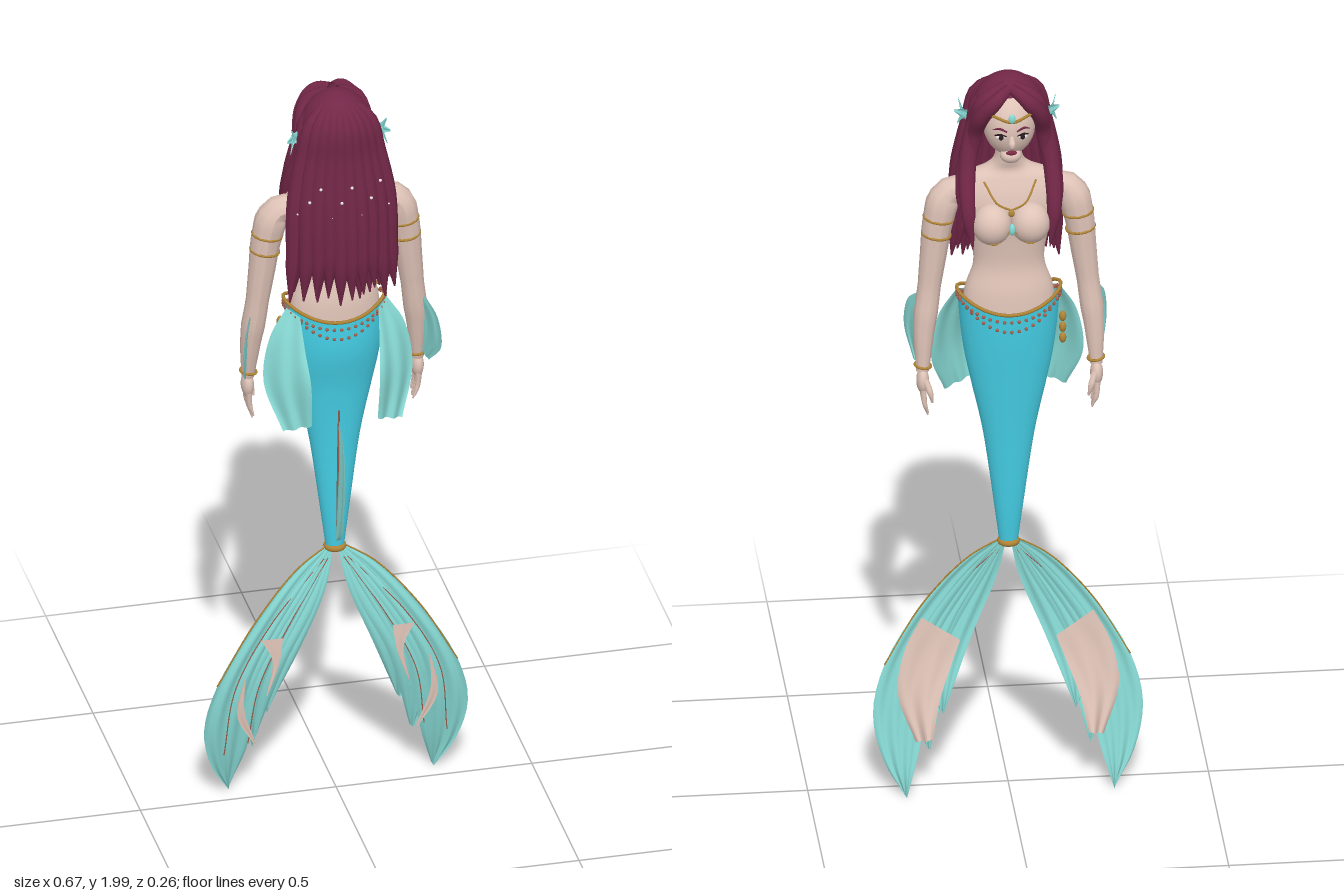
import * as THREE from 'three';

const V = (x, y, z) => new THREE.Vector3(x, y, z);
const paint = (name, color, side = THREE.FrontSide) => {
  const m = new THREE.MeshStandardMaterial({ color, side });
  m.name = name;
  return m;
};
const M = {
  hair: paint('wine hair', 0x722747, THREE.DoubleSide),
  skin: paint('skin', 0xdfc3b7, THREE.DoubleSide),
  tail: paint('tail blue', 0x45cfe6),
  fin: paint('fin aqua', 0x88dad5, THREE.DoubleSide),
  gold: paint('gold', 0xb08436),
  bead: paint('bead brown', 0xa0604e),
  dark: paint('eye dark', 0x2a1a22),
  white: paint('pearl white', 0xe8e4e0),
  lip: paint('lip red', 0x7c2c44),
};

export function createModel() {
  const root = new THREE.Group();
  root.name = 'mermaid';
  const add = (name, geo, mat, parent = root) => {
    const m = new THREE.Mesh(geo, mat);
    m.name = name;
    parent.add(m);
    return m;
  };
  const blob = (name, mat, p, r, parent) => {
    const m = add(name, new THREE.SphereGeometry(1, 20, 14), mat, parent);
    m.position.set(...p);
    m.scale.set(...r);
    return m;
  };
  const curveOf = (pts, s = 1, closed = false) =>
    new THREE.CatmullRomCurve3(pts.map(p => V(p[0] * s, p[1], p[2])), closed);

  // Tube whose radius follows a list of values along its length
  const taper = (name, mat, pts, radii, s = 1, parent = root, segs = 28, sides = 10) => {
    const curve = curveOf(pts, s);
    const geo = new THREE.TubeGeometry(curve, segs, 1, sides);
    const pos = geo.attributes.position, v = V(0, 0, 0);
    for (let i = 0; i <= segs; i++) {
      const c = curve.getPointAt(i / segs), f = i / segs * (radii.length - 1);
      const k = Math.min(Math.floor(f), radii.length - 2);
      const r = THREE.MathUtils.lerp(radii[k], radii[k + 1], f - k);
      for (let j = 0; j <= sides; j++) {
        const n = i * (sides + 1) + j;
        v.fromBufferAttribute(pos, n).sub(c).multiplyScalar(r).add(c);
        pos.setXYZ(n, v.x, v.y, v.z);
      }
    }
    geo.computeVertexNormals();
    return add(name, geo, mat, parent);
  };
  const wire = (name, mat, pts, r, s = 1, closed = false, parent = root) =>
    add(name, new THREE.TubeGeometry(curveOf(pts, s, closed), 40, r, 6, closed), mat, parent);

  // Body skin through oval rows of [y, half width, front z, back z]
  const loft = (name, mat, rows, lift = 0) => {
    const cw = new THREE.CatmullRomCurve3(rows.map(r => V(r[0], r[1], 0)), false, 'catmullrom');
    const cd = new THREE.CatmullRomCurve3(rows.map(r => V(r[0], r[2], r[3])), false, 'catmullrom');
    const n = 48, k = 32, pos = [], idx = [];
    for (let i = 0; i <= n; i++) {
      const w = cw.getPoint(i / n), d = cd.getPoint(i / n);
      const rise = lift * THREE.MathUtils.smoothstep(w.x, 1.2, 1.365);
      for (let j = 0; j < k; j++) {
        const a = j / k * Math.PI * 2, c = Math.cos(a);
        pos.push(w.y * c, w.x + rise * c * c, (d.y + d.z) / 2 + (d.z - d.y) / 2 * Math.sin(a));
        if (i < n) {
          const p = i * k + j, q = i * k + (j + 1) % k;
          idx.push(p, p + k, q, q, p + k, q + k);
        }
      }
    }
    const geo = new THREE.BufferGeometry();
    geo.setAttribute('position', new THREE.Float32BufferAttribute(pos, 3));
    geo.setIndex(idx);
    geo.computeVertexNormals();
    return add(name, geo, mat);
  };

  // Rippled membrane stretched between two edge curves
  const fin = (name, mat, a, b, s = 1, ripple = 0.005, folds = 3, parent = root, axis = 'z') => {
    const A = curveOf(a, s), B = curveOf(b, s);
    const geo = new THREE.PlaneGeometry(1, 1, 18, 24), pos = geo.attributes.position;
    for (let i = 0; i < pos.count; i++) {
      const u = pos.getX(i) + 0.5, v = 0.5 - pos.getY(i);
      const p = A.getPoint(v).lerp(B.getPoint(v), u);
      p[axis] += ripple * Math.sin(u * folds * Math.PI * 2) * Math.sin(Math.min(1, v * 1.4) * Math.PI / 2);
      pos.setXYZ(i, p.x, p.y, p.z);
    }
    geo.computeVertexNormals();
    return add(name, geo, mat, parent);
  };

  // Tail and torso
  loft('tail', M.tail, [[0.68, .022, -.032, .006], [0.8, .037, -.045, .014], [1, .064, -.062, .022],
    [1.15, .095, -.077, .036], [1.27, .119, -.09, .058], [1.365, .129, -.097, .06]], 0.045);
  loft('torso', M.skin, [[1.33, .12, -.088, .05], [1.41, .11, -.08, .045], [1.48, .089, -.066, .03],
    [1.55, .096, -.07, .03], [1.62, .117, -.078, .034], [1.68, .135, -.066, .036], [1.72, .118, -.05, .034],
    [1.745, .06, -.04, .026], [1.775, .035, -.046, .02], [1.83, .034, -.05, .02]]);

  // Belt with hanging beads
  const ring = (y, rise, grow) => Array.from({ length: 24 }, (_, i) => {
    const a = i / 24 * Math.PI * 2, c = Math.cos(a);
    return [(.129 + grow) * c, y + rise * c * c, -.0185 + (.0785 + grow) * Math.sin(a)];
  });
  wire('belt', M.gold, ring(1.366, .045, .001), .0045, 1, true);
  for (const [y, rise] of [[1.345, .045], [1.318, .08]]) {
    const row = curveOf(ring(y, rise, .0), 1, true);
    for (let i = 0; i < 44; i++) blob('beltBead', M.bead, row.getPoint(i / 44).toArray(), [.0045, .0045, .0045]);
  }
  for (const y of [1.33, 1.3, 1.27]) blob('beltTassel', M.gold, [-.132, y, -.045], [.009, .014, .009]);
  const tie = add('tailRing', new THREE.TorusGeometry(.021, .008, 8, 24), M.gold);
  tie.rotation.x = Math.PI / 2;
  tie.position.set(0, .69, -.013);

  // Dorsal fin
  fin('dorsalFin', M.fin, [[0, 1.06, .02], [0, .95, .015], [0, .72, 0]],
    [[0, 1.07, .03], [0, 1.02, .08], [0, .93, .098], [0, .8, .08], [0, .75, .06], [0, .72, .02]], 1, .004, 2, root, 'x');
  wire('dorsalSeam', M.bead, [[0, 1.1, .032], [0, 1, .024], [0, .74, .011]], .0025);

  // Head and face
  const head = new THREE.Group();
  head.name = 'head';
  root.add(head);
  blob('face', M.skin, [0, 1.875, -.028], [.066, .085, .07], head);
  blob('chin', M.skin, [0, 1.803, -.068], [.027, .02, .024], head);
  taper('nose', M.skin, [[0, 1.87, -.092], [0, 1.845, -.104], [0, 1.835, -.092]], [.004, .009, .005], 1, head);
  blob('lips', M.lip, [0, 1.819, -.089], [.014, .006, .006], head);
  wire('tiara', M.gold, [[-.08, 1.92, -.04], [-.045, 1.925, -.09], [0, 1.91, -.1], [.045, 1.925, -.09], [.08, 1.92, -.04]], .004, 1, false, head);
  blob('tiaraGem', M.fin, [0, 1.92, -.101], [.009, .013, .006], head);

  // Hair cap: open around the face
  const cap = (name, start, sweep, top, height) => {
    const m = add(name, new THREE.SphereGeometry(1, 40, 20, start, sweep, top, height), M.hair, head);
    m.position.set(0, 1.89, 0);
    m.scale.set(.092, .107, .088);
  };
  cap('hairCrown', 0, Math.PI * 2, 0, .85);
  cap('hairBack', Math.PI / 2 - 1.95, 3.9, .8, 1.5);

  // Back locks in two layers
  for (let layer = 0; layer < 2; layer++) {
    for (let i = 0; i < 10; i++) {
      const t = (i - 4.5) / 4.5 * (layer ? .9 : 1), c = Math.sqrt(1 - .8 * t * t), d = layer * .022;
      const end = 1.445 + .035 * ((i * 5 + layer * 2) % 4) / 3;
      taper('hairLock', M.hair, [[.02 * t, 1.983, .01], [.074 * t, 1.935, .015 + .06 * c - d],
        [.095 * t, 1.84, .012 + .068 * c - d], [.116 * t, 1.72, .018 + .078 * c - d],
        [.122 * t, 1.58, .022 + .086 * c - d], [.134 * t, end, .03 + .082 * c - d]],
      [.008, .018, .022, .024, .024, .02, .002], 1, head, 26, 8);
      if (layer === 0) {
        blob('hairPearl', M.white, [.116 * t, 1.7 + .04 * (i % 3), .04 + .077 * c], [.004, .004, .004], head);
      }
    }
  }

  for (const s of [1, -1]) {
    const side = new THREE.Group();
    side.name = s > 0 ? 'leftSide' : 'rightSide';
    root.add(side);
    const T = (name, mat, pts, radii) => taper(name, mat, pts, radii, s, side);
    const F = (name, mat, a, b, ripple, folds) => fin(name, mat, a, b, s, ripple, folds, side);

    // Eye and brow
    blob('eye', M.white, [s * .027, 1.866, -.0915], [.013, .007, .005], side);
    blob('iris', M.dark, [s * .027, 1.866, -.0955], [.006, .0065, .003], side);
    T('eyelash', M.dark, [[.013, 1.869, -.096], [.028, 1.874, -.095], [.043, 1.869, -.085]], [.001, .003, .001]);
    T('brow', M.hair, [[.012, 1.882, -.097], [.03, 1.89, -.093], [.046, 1.882, -.08]], [.002, .003, .001]);

    // Front locks framing the face
    T('fringe', M.hair, [[.002, 1.98, -.05], [.035, 1.962, -.078], [.07, 1.915, -.066], [.085, 1.85, -.03], [.096, 1.76, -.03]],
      [.012, .021, .021, .02, .012]);
    T('frontLock', M.hair, [[.01, 1.983, -.03], [.06, 1.95, -.05], [.085, 1.87, -.02], [.104, 1.77, -.032],
      [.108, 1.66, -.075], [.096, 1.55, -.088]], [.01, .022, .022, .023, .021, .018, .001]);
    T('sideLock', M.hair, [[.03, 1.972, 0], [.074, 1.92, -.005], [.09, 1.83, .005], [.115, 1.73, -.025], [.12, 1.6, -.065]],
      [.01, .02, .02, .02, .016, .001]);

    // Ear fin
    for (const [y, x] of [[1.92, .122], [1.885, .132], [1.85, .124]]) {
      F('earFin', M.fin, [[.08, 1.89, -.005], [.108, 1.895, .01], [x, y, .03]],
        [[.08, 1.865, 0], [.108, 1.868, .014], [x, y - .006, .032]], .002, 1);
    }

    // Chest
    blob('breast', M.skin, [s * .048, 1.615, -.076], [.05, .054, .05], side);
    T('cupTrim', M.gold, [[.008, 1.605, -.105], [.045, 1.572, -.108], [.088, 1.6, -.1]], [.002, .002]);
    T('necklace', M.gold, [[0, 1.655, -.085], [.035, 1.675, -.085], [.065, 1.72, -.05]], [.0025, .0025]);

    // Arm, hand and bands
    T('arm', M.skin, [[.11, 1.685, 0], [.152, 1.672, -.004], [.175, 1.6, -.008], [.188, 1.5, -.01], [.2, 1.4, -.014],
      [.212, 1.3, -.024], [.217, 1.19, -.036]], [.03, .041, .037, .033, .029, .03, .024, .016]);
    blob('palm', M.skin, [s * .217, 1.165, -.04], [.016, .034, .025], side);
    for (let i = 0; i < 4; i++) {
      const z = -.022 - i * .013, tip = 1.065 + .012 * Math.abs(i - 1.4);
      T('finger', M.skin, [[.217, 1.15, z], [.214, 1.11, z - .002], [.205, tip, z]], [.008, .007, .006, .002]);
    }
    T('thumb', M.skin, [[.212, 1.175, -.056], [.2, 1.14, -.068], [.195, 1.115, -.066]], [.008, .008, .003]);
    for (const [x, y, z, r] of [[.174, 1.605, -.008, .037], [.18, 1.56, -.009, .0355], [.216, 1.205, -.034, .02]]) {
      const band = add('armBand', new THREE.TorusGeometry(r, .0035, 8, 28), M.gold, side);
      band.rotation.set(Math.PI / 2, s * .14, 0);
      band.position.set(s * x, y, z);
    }

    // Forearm and hip fins
    F('forearmFin', M.fin, [[.21, 1.37, -.01], [.22, 1.3, -.02], [.222, 1.21, -.03]],
      [[.225, 1.385, .015], [.246, 1.345, .055], [.253, 1.27, .068], [.235, 1.2, .01]], .004, 2);
    F('hipFin', M.fin, [[.1, 1.38, .035], [.095, 1.3, .068], [.088, 1.22, .102], [.084, 1.1, .094]],
      [[.128, 1.395, .005], [.172, 1.32, .012], [.19, 1.2, .022], [.152, 1.08, .07]], .005, 2);

    // Tail fluke: overlapping lobes that bow backwards, inner tips curling forwards
    const bow = (pts, curl) => pts.map(([x, y]) => {
      const k = (0.7 - y) / 0.7;
      return [x, y, -.01 + .14 * k + (curl - .18) * k * k];
    });
    const lobe = (name, mat, a, b, curlA, curlB, ripple, folds) => F(name, mat, bow(a, curlA), bow(b, curlB), ripple, folds);
    const outer = [[.01, .7], [.1, .64], [.21, .51], [.307, .34], [.337, .21], [.312, .09], [.262, .005]];
    lobe('innerLobe', M.fin, [[.005, .69], [.028, .58], [.09, .42], [.165, .225]],
      [[.01, .69], [.08, .58], [.17, .42], [.205, .3], [.17, .225]], -.1, -.06, .005, 2);
    lobe('middleLobe', M.fin, [[.005, .69], [.05, .55], [.13, .38], [.2, .13]],
      [[.01, .7], [.1, .6], [.22, .42], [.26, .28], [.206, .13]], -.055, -.025, .005, 2);
    lobe('outerLobe', M.fin, [[.005, .69], [.08, .56], [.18, .36], [.222, .13], [.259, .005]], outer, -.02, 0, .005, 3);
    lobe('flukeFrontPatch', M.skin, [[.12, .41], [.142, .35], [.175, .26], [.195, .17]],
      [[.215, .47], [.258, .38], [.276, .27], [.235, .15]], -.125, -.05, .004, 2);
    lobe('flukeBackStreak', M.skin, [[.235, .36], [.237, .26], [.205, .16]],
      [[.237, .365], [.256, .25], [.209, .155]], .02, .025, .001, 1);
    lobe('flukeBackStreak', M.skin, [[.14, .46], [.15, .39], [.18, .3]],
      [[.195, .46], [.168, .4], [.183, .3]], .03, .03, .001, 1);

    // Fluke ribs
    wire('flukeEdge', M.gold, bow(outer.slice(0, 4), 0), .002, s, false, side);
    for (const rib of [[[.02, .66], [.12, .5], [.2, .33], [.225, .16]], [[.03, .66], [.17, .5], [.26, .33], [.285, .13]]]) {
      wire('flukeRib', M.bead, bow(rib, .015), .0014, s, false, side);
    }
  }

  // Pendant
  blob('pendant', M.gold, [0, 1.648, -.088], [.008, .01, .006]);
  blob('pendantGem', M.fin, [0, 1.61, -.103], [.008, .016, .008]);
  return root;
}
